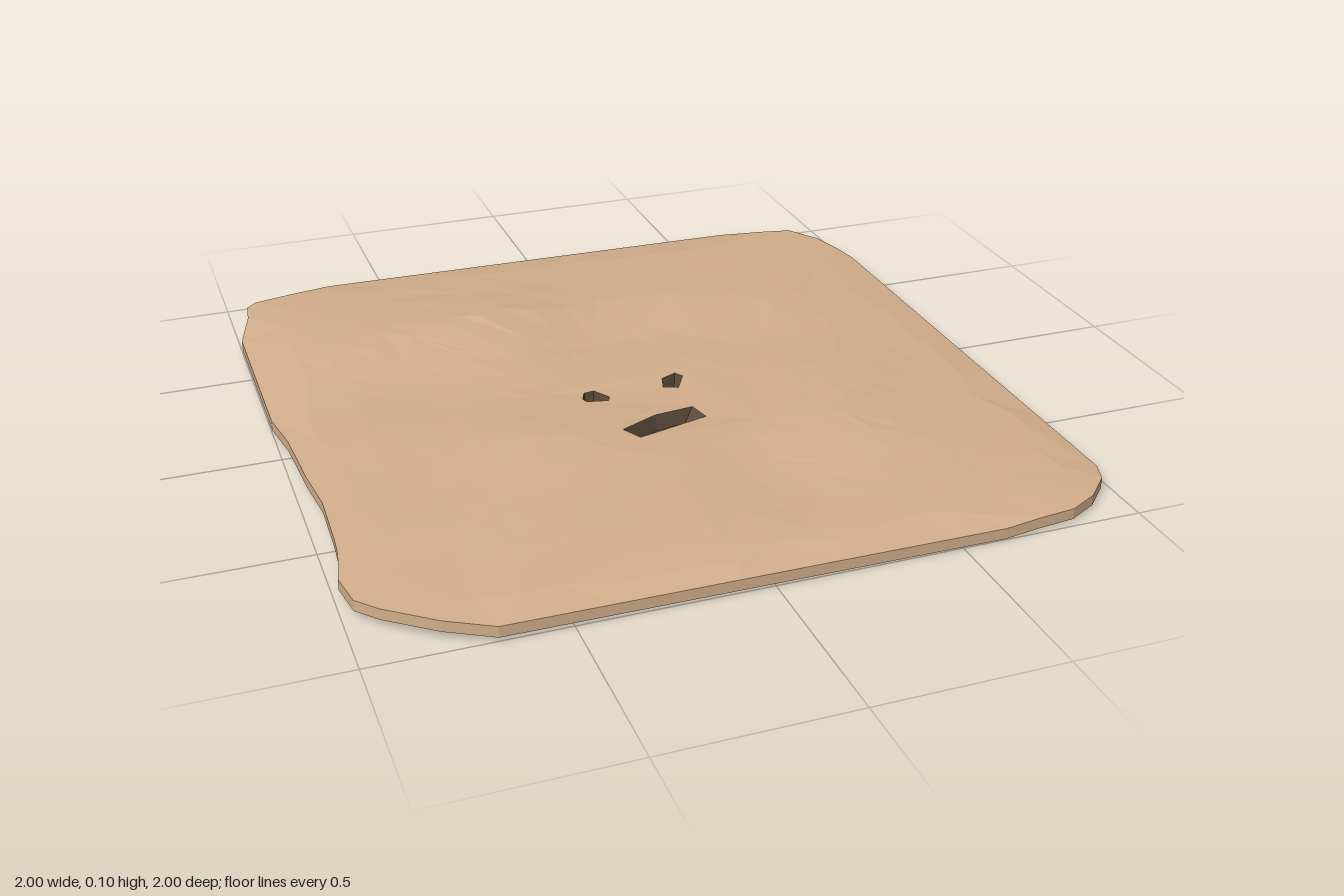
import * as THREE from 'three';

const V2 = (x, z) => new THREE.Vector2(x, z);
const CENTER = V2(0, 0.15);
const THICK = 0.03;

// Outline of the sheet as seen from above (x, z)
const OUTLINE = [
  [-0.68, -1], [0.66, -1], [0.8, -0.96], [0.89, -0.945], [0.95, -0.85], [0.98, -0.75], [1, -0.68],
  [1, 0.8], [0.97, 0.87], [0.9, 0.94], [0.82, 0.98], [0.62, 1], [-0.68, 1], [-0.8, 0.95], [-0.92, 0.86],
  [-0.97, 0.8], [-0.985, 0.7], [-0.965, 0.6], [-0.96, 0.53], [-0.955, 0.35], [-0.97, 0.2], [-0.98, 0],
  [-1, -0.15], [-1, -0.68], [-0.96, -0.82], [-0.95, -0.9], [-0.92, -0.93], [-0.8, -0.955],
].map(p => V2(...p));

// The three small pits
const PITS = {
  rightEye: [[-0.175, 0.06], [-0.16, 0.025], [-0.13, 0.02], [-0.1, 0.07], [-0.11, 0.09], [-0.17, 0.08]],
  leftEye: [[0.06, 0.065], [0.075, 0.015], [0.12, -0.003], [0.135, 0.02], [0.1, 0.08]],
  mouth: [[-0.135, 0.285], [-0.02, 0.22], [0.095, 0.2], [0.11, 0.265], [-0.105, 0.34]],
};

// Broad folds: x, z, height, radius x, radius z
const FOLDS = [
  [-0.35, -0.5, 0.04, 0.34, 0.2], [0.5, -0.45, 0.014, 0.25, 0.25], [0.5, 0.35, 0.016, 0.25, 0.25],
  [-0.3, 0.35, 0.022, 0.25, 0.25], [-0.75, -0.55, 0.008, 0.2, 0.25], [0.15, 0.6, -0.01, 0.15, 0.3],
  [0.85, 0, -0.01, 0.15, 0.6], [0.05, -0.3, -0.008, 0.2, 0.12],
];

function height(x, z) {
  const edge = (1 - Math.abs(x) ** 4) * (1 - Math.abs(z) ** 4);
  let y = 0.037 - 0.006 * x + 0.031 * Math.sqrt(Math.max(0, edge));
  for (const [fx, fz, h, rx, rz] of FOLDS) {
    y += h * edge * Math.exp(-(((x - fx) / rx) ** 2) - ((z - fz) / rz) ** 2);
  }
  return y + 0.004 * edge * Math.sin(9 * x - 5 * z) * Math.cos(4 * x + 8 * z);
}

function meshFrom(name, pos, material) {
  const geo = new THREE.BufferGeometry();
  geo.setAttribute('position', new THREE.Float32BufferAttribute(pos, 3));
  geo.computeVertexNormals();
  const mesh = new THREE.Mesh(geo, material);
  mesh.name = name;
  return mesh;
}

// Split long edges of a closed loop
function subdivide(loop, step) {
  return loop.flatMap((a, i) => {
    const b = loop[(i + 1) % loop.length];
    const n = Math.ceil(a.distanceTo(b) / step);
    return Array.from({ length: n }, (_, k) => a.clone().lerp(b, k / n));
  });
}

function createSheet(holes, material) {
  const outer = subdivide(OUTLINE, 0.16);
  const inner = outer.map(p => p.clone().sub(CENTER).setLength(0.3).add(CENTER));
  const n = outer.length, rings = 7;
  let seed = 7;
  const rand = () => (seed = (seed * 16807) % 2147483647) / 2147483647 - 0.5;

  // Loops from the middle patch out to the edge, slightly irregular
  const loops = Array.from({ length: rings + 1 }, (_, r) => outer.map((p, i) => {
    const q = inner[i].clone().lerp(p, r / rings);
    return r > 0 && r < rings ? q.add(V2(rand() * 0.06, rand() * 0.06)) : q;
  }));

  const pos = [];
  const put = (p, drop) => pos.push(p.x, height(p.x, p.y) - drop, p.y);
  const tri = (a, b, c) => {
    const up = (b.y - a.y) * (c.x - a.x) - (b.x - a.x) * (c.y - a.y) > 0;
    const [s, t] = up ? [b, c] : [c, b];
    put(a, 0); put(s, 0); put(t, 0);
    put(a, THICK); put(t, THICK); put(s, THICK);
  };

  for (let r = 0; r < rings; r++) {
    for (let i = 0; i < n; i++) {
      const j = (i + 1) % n;
      const a = loops[r][i], b = loops[r][j], c = loops[r + 1][j], d = loops[r + 1][i];
      if ((i + r) % 2) { tri(a, b, c); tri(a, c, d); } else { tri(a, b, d); tri(b, c, d); }
    }
  }

  // Middle patch with openings for the pits
  const shape = new THREE.Shape(inner);
  shape.holes = holes.map(h => new THREE.Path(h));
  const { shape: contour, holes: cut } = shape.extractPoints(1);
  const contourClean = THREE.ShapeUtils.isClockWise(contour) ? contour.reverse() : contour;
  const cutClean = cut.map(h => (THREE.ShapeUtils.isClockWise(h) ? h : h.reverse()));
  const faces = THREE.ShapeUtils.triangulateShape(contourClean, cutClean);
  const all = [contourClean, ...cutClean].flat();
  for (const [a, b, c] of faces) tri(all[a], all[b], all[c]);

  // Thin outer edge
  for (let i = 0; i < n; i++) {
    const a = outer[i], b = outer[(i + 1) % n];
    put(a, 0); put(b, 0); put(a, THICK);
    put(b, 0); put(b, THICK); put(a, THICK);
  }
  return meshFrom('sheet', pos, material);
}

// Shallow tapered cup hanging in an opening
function createPit(name, loop, material) {
  const mid = loop.reduce((s, p) => s.add(p), V2(0, 0)).divideScalar(loop.length);
  const floorLoop = loop.map(p => p.clone().lerp(mid, 0.25));
  const floorY = height(mid.x, mid.y) - 0.045;
  const pos = [];
  loop.forEach((a, i) => {
    const j = (i + 1) % loop.length, b = loop[j], c = floorLoop[j], d = floorLoop[i];
    const A = [a.x, height(a.x, a.y), a.y], B = [b.x, height(b.x, b.y), b.y];
    const C = [c.x, floorY, c.y], D = [d.x, floorY, d.y];
    pos.push(...A, ...C, ...B, ...A, ...D, ...C);
    pos.push(...D, mid.x, floorY, mid.y, ...C);
  });
  return meshFrom(name, pos, material);
}

export function createModel() {
  const model = new THREE.Group();
  model.name = 'wavySheet';
  const tan = new THREE.MeshStandardMaterial({ color: 0xd2ae8b, flatShading: true });
  const dark = new THREE.MeshStandardMaterial({ color: 0x5a4a39, flatShading: true, side: THREE.DoubleSide });

  const loops = Object.entries(PITS).map(([name, pts]) => [name, pts.map(p => V2(...p))]);
  model.add(createSheet(loops.map(([, loop]) => loop.map(p => p.clone())), tan));
  for (const [name, loop] of loops) model.add(createPit(name, loop, dark));

  // Rest on the ground
  const lowest = new THREE.Box3().setFromObject(model).min.y;
  model.children.forEach(m => m.geometry.translate(0, -lowest, 0));
  return model;
}
